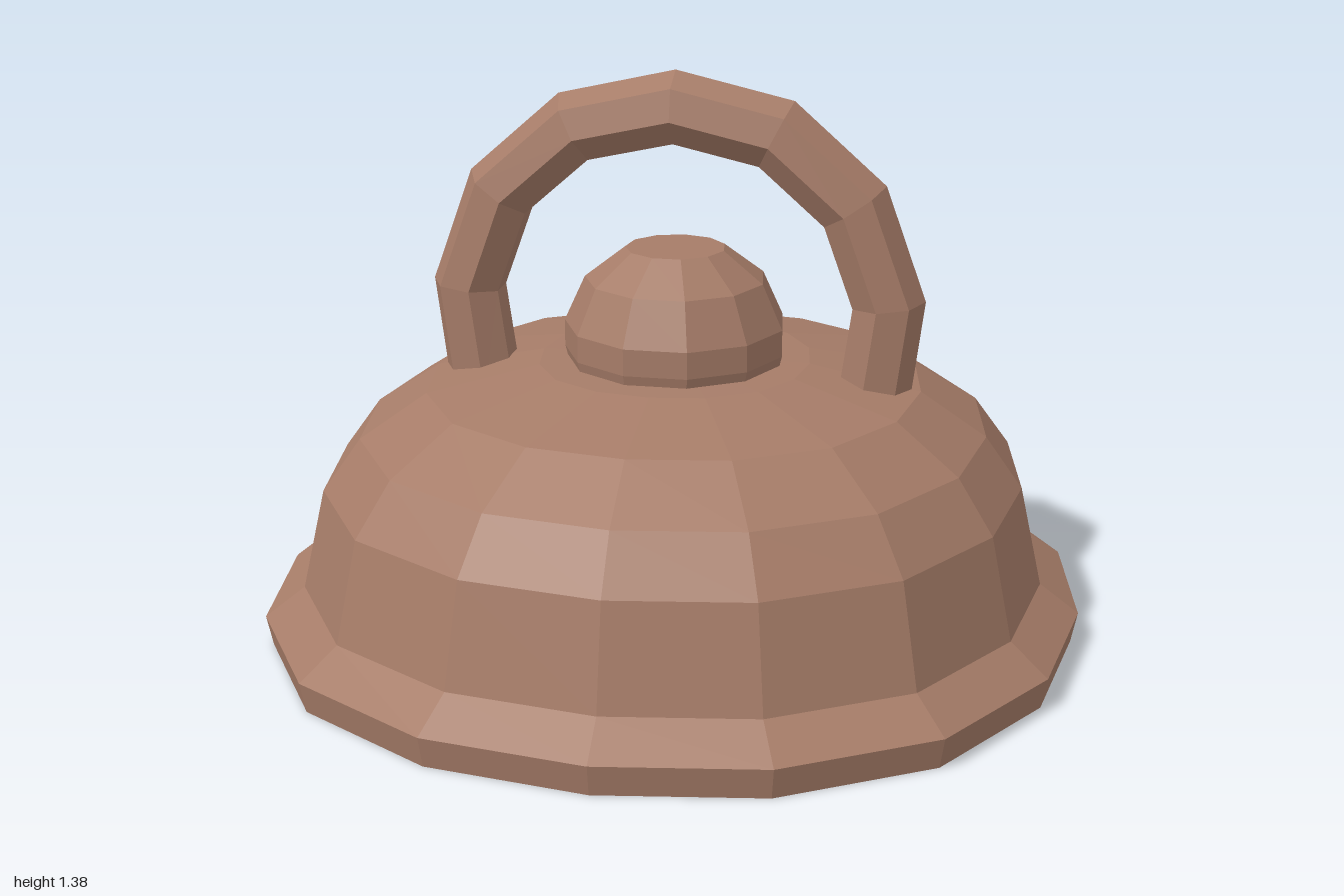
import * as THREE from 'three';

const clay = new THREE.MeshStandardMaterial({ color: 0xa67c68, flatShading: true });
clay.name = 'clay brown';

const lathe = (points, sides) =>
  new THREE.LatheGeometry(points.map(([r, y]) => new THREE.Vector2(r, y)), sides);

// Loft a regular polygon along a path lying in the xy plane
function loft(path, radius, sides) {
  const positions = [], index = [];
  path.forEach((p, i) => {
    const before = path[Math.max(i - 1, 0)], after = path[Math.min(i + 1, path.length - 1)];
    const dir = new THREE.Vector2(after[0] - before[0], after[1] - before[1]).normalize();
    for (let j = 0; j < sides; j++) {
      const a = (j / sides) * Math.PI * 2, out = radius * Math.cos(a);
      positions.push(p[0] + dir.y * out, p[1] - dir.x * out, radius * Math.sin(a));
      if (i === path.length - 1) continue;
      const k = (j + 1) % sides, row = i * sides, next = row + sides;
      index.push(row + j, next + j, row + k, next + j, next + k, row + k);
    }
  });
  const geometry = new THREE.BufferGeometry();
  geometry.setAttribute('position', new THREE.Float32BufferAttribute(positions, 3));
  geometry.setIndex(index);
  geometry.computeVertexNormals();
  return geometry;
}

export function createModel() {
  const model = new THREE.Group();
  const add = (name, geometry) => {
    const mesh = new THREE.Mesh(geometry, clay);
    mesh.name = name;
    model.add(mesh);
    return mesh;
  };

  // Dome with a flared rim and closed underside, slightly squared in plan
  const dome = lathe([
    [0, 0], [0.985, 0], [1, 0.075], [0.905, 0.145], [0.85, 0.39],
    [0.76, 0.515], [0.6, 0.62], [0.33, 0.675], [0, 0.682],
  ], 16);
  const pos = dome.attributes.position;
  for (let i = 0; i < pos.count; i++) {
    const x = pos.getX(i), z = pos.getZ(i);
    const s = 1 + 0.036 * Math.sin(2 * Math.atan2(z, x)) ** 2;
    pos.setXYZ(i, x * s, pos.getY(i), z * s);
  }
  dome.computeVertexNormals();
  add('dome', dome);

  // Rounded knob with a flat top
  const knob = add('knob', lathe([
    [0.255, 0.64], [0.27, 0.70], [0.27, 0.765], [0.22, 0.875], [0.122, 0.95], [0, 0.95],
  ], 11));
  knob.rotation.y = Math.PI;

  // Seven-sided arched handle, its feet sunk into the dome
  const half = [[0.48, 0.57], [0.515, 0.835], [0.43, 1.07], [0.243, 1.235]];
  const path = [...half, [0, 1.29], ...half.map(([x, y]) => [-x, y]).reverse()];
  add('handle', loft(path, 0.09, 7));

  return model;
}
